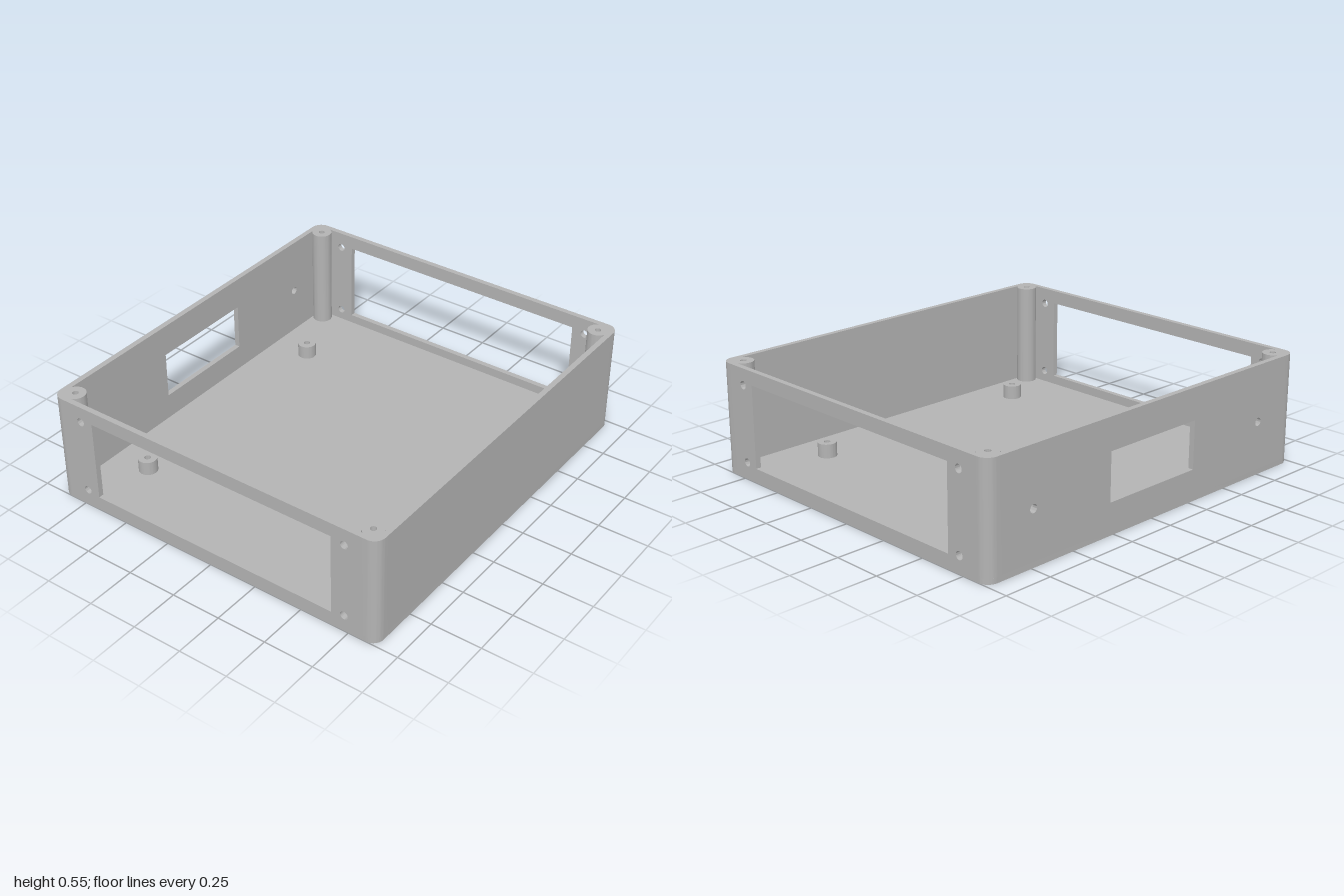
import * as THREE from 'three';
import { toCreasedNormals } from 'three/addons/utils/BufferGeometryUtils.js';

const HX = 0.893, HZ = 1, H = 0.547; // half width, half depth, height
const T = 0.027, R = 0.055;          // wall and floor thickness, corner radius
const POST = { x: 0.82, z: 0.926, r: 0.05, hole: 0.015 };

export function createModel() {
  const group = new THREE.Group();
  const grey = new THREE.MeshStandardMaterial({ color: 0xb3b3b3 });
  grey.name = 'grey plastic';

  const extrude = (shape, depth) =>
    new THREE.ExtrudeGeometry(shape, { depth, bevelEnabled: false, curveSegments: 32 });
  const add = (name, geometry) => {
    const mesh = new THREE.Mesh(toCreasedNormals(geometry, 0.6), grey);
    mesh.name = name;
    group.add(mesh);
    return mesh;
  };
  // Extrude a plan shape upwards from y0
  const rise = (shape, y0, height) =>
    extrude(shape, height).rotateX(-Math.PI / 2).translate(0, y0, 0);
  const circle = (x, y, r) => new THREE.Path().absarc(x, y, r, 0, Math.PI * 2, false);
  const rect = (x0, y0, x1, y1) => new THREE.Path()
    .moveTo(x0, y0).lineTo(x1, y0).lineTo(x1, y1).lineTo(x0, y1).closePath();

  // Floor with rounded corners
  const plan = new THREE.Shape();
  plan.absarc(HX - R, HZ - R, R, 0, Math.PI / 2, false);
  plan.absarc(-HX + R, HZ - R, R, Math.PI / 2, Math.PI, false);
  plan.absarc(-HX + R, -HZ + R, R, Math.PI, Math.PI * 1.5, false);
  plan.absarc(HX - R, -HZ + R, R, Math.PI * 1.5, Math.PI * 2, false);
  plan.closePath();
  add('floor', rise(plan, 0, T));

  // Corner pieces: rounded outer wall merged with a screw post
  const dx = HX - T - POST.x, dz = HZ - T - POST.z;
  const endZ = POST.z - Math.sqrt(POST.r ** 2 - dx ** 2); // post meets side wall
  const endX = POST.x - Math.sqrt(POST.r ** 2 - dz ** 2); // post meets end wall
  const arc = (x, y, r, a0, a1, n) => Array.from({ length: n + 1 }, (_, i) => {
    const a = a0 + (a1 - a0) * i / n;
    return [x + r * Math.cos(a), y + r * Math.sin(a)];
  });
  const outline = [
    [HX, endZ],
    ...arc(HX - R, HZ - R, R, 0, Math.PI / 2, 12),
    [endX, HZ],
    ...arc(POST.x, POST.z, POST.r,
      Math.atan2(dz, endX - POST.x) , Math.atan2(endZ - POST.z, dx) + Math.PI * 2, 28),
  ];
  for (const sx of [-1, 1]) for (const sz of [-1, 1]) {
    const shape = new THREE.Shape(outline.map(([x, z]) => new THREE.Vector2(x * sx, -z * sz)));
    shape.holes.push(circle(POST.x * sx, -POST.z * sz, POST.hole));
    add('cornerPost', rise(shape, T, H - T));
  }

  // Upright wall plate between two corner pieces
  const wall = (name, half, dist, angle, holes) => {
    const shape = new THREE.Shape([
      new THREE.Vector2(-half, T), new THREE.Vector2(half, T),
      new THREE.Vector2(half, H), new THREE.Vector2(-half, H)]);
    shape.holes.push(...holes);
    add(name, extrude(shape, T).translate(0, 0, dist - T).rotateY(angle));
  };

  // End walls: large panel opening with four screw holes
  const endHoles = () => [
    rect(-0.66, 0.072, 0.66, 0.479),
    ...[-0.727, 0.727].flatMap(x => [0.085, 0.465].map(y => circle(x, y, 0.02))),
  ];
  wall('frontWall', endX, HZ, 0, endHoles());
  wall('backWall', endX, HZ, Math.PI, endHoles());

  // Side walls: one plain, one with a window and two screw holes
  wall('leftWall', endZ, HX, Math.PI / 2, []);
  wall('rightWall', endZ, HX, -Math.PI / 2, [
    rect(-0.275, 0.155, 0.275, 0.39),
    circle(-0.74, 0.265, 0.02), circle(0.74, 0.265, 0.02),
  ]);

  // Circuit board standoffs
  for (const x of [-0.663, 0.663]) for (const z of [-0.58, 0.663]) {
    const ring = new THREE.Shape().absarc(x, -z, 0.046, 0, Math.PI * 2, false);
    ring.holes.push(circle(x, -z, 0.016));
    add('standoff', rise(ring, T, 0.07));
  }

  return group;
}
